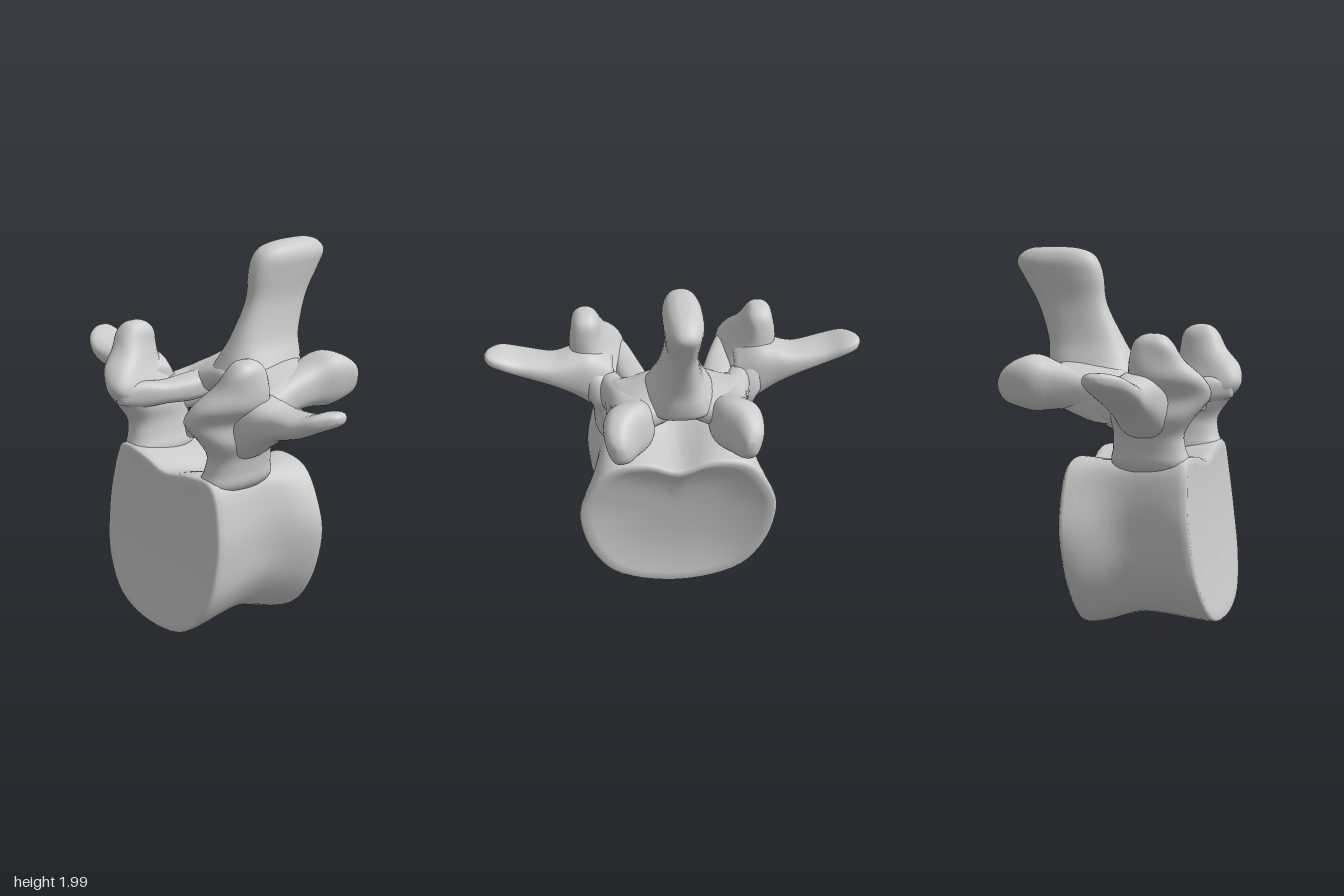
import * as THREE from 'three';

const material = new THREE.MeshStandardMaterial({ color: 0xcccccc });

// Closed smooth skin over a list of equal-length rings, capped at both ends
function skin(name, rings) {
  const n = rings[0].length, pos = [], idx = [];
  rings.forEach(r => r.forEach(p => pos.push(p.x, p.y, p.z)));
  for (let i = 0; i < rings.length - 1; i++) {
    for (let j = 0; j < n; j++) {
      const k = (j + 1) % n, a = i * n + j, b = i * n + k;
      idx.push(a, b, b + n, a, b + n, a + n);
    }
  }
  [0, rings.length - 1].forEach((i, end) => {
    const c = new THREE.Vector3();
    rings[i].forEach(p => c.addScaledVector(p, 1 / n));
    const m = pos.length / 3;
    pos.push(c.x, c.y, c.z);
    for (let j = 0; j < n; j++) {
      const a = i * n + j, b = i * n + (j + 1) % n;
      if (end) idx.push(a, b, m);
      else idx.push(b, a, m);
    }
  });
  // Turn the faces outward if the signed volume is negative
  const P = i => new THREE.Vector3().fromArray(pos, idx[i] * 3);
  let volume = 0;
  for (let i = 0; i < idx.length; i += 3) volume += P(i).dot(P(i + 1).cross(P(i + 2)));
  if (volume < 0) idx.reverse();
  const g = new THREE.BufferGeometry();
  g.setAttribute('position', new THREE.Float32BufferAttribute(pos, 3));
  g.setIndex(idx);
  g.computeVertexNormals();
  const mesh = new THREE.Mesh(g, material);
  mesh.name = name;
  return mesh;
}

// Rows are [x, y, z, halfA, halfB, turn]; sections lie square to the given axis
const AXES = { x: ['z', 'y'], y: ['z', 'x'], z: ['x', 'y'] };
const boxy = c => Math.sign(c) * Math.abs(c) ** .8;
function limb(name, axis, rows, side = 1) {
  const centre = new THREE.CatmullRomCurve3(rows.map(r => new THREE.Vector3(r[0], r[1], r[2])), false, 'catmullrom');
  const size = new THREE.CatmullRomCurve3(rows.map(r => new THREE.Vector3(r[3], r[4], r[5] || 0)), false, 'catmullrom');
  const [u, v] = AXES[axis], rings = [], steps = (rows.length - 1) * 5, n = 32;
  for (let i = 0; i <= steps; i++) {
    const c = centre.getPoint(i / steps), s = size.getPoint(i / steps), ring = [];
    for (let j = 0; j < n; j++) {
      const t = j / n * Math.PI * 2;
      const a = s.x * boxy(Math.cos(t)), b = s.y * boxy(Math.sin(t));
      const p = c.clone();
      p[u] += a * Math.cos(s.z) - b * Math.sin(s.z);
      p[v] += a * Math.sin(s.z) + b * Math.cos(s.z);
      p.x *= side;
      ring.push(p);
    }
    rings.push(ring);
  }
  return skin(name, rings);
}

// Half outlines of the body from top centre to bottom centre
const FRONT = [[0, .91], [.2, .95], [.39, .95], [.465, .75], [.48, .55], [.44, .32], [.28, .13], [0, .07]];
const WAIST = [[0, .84], [.2, .91], [.37, .92], [.425, .75], [.43, .55], [.4, .35], [.26, .15], [0, .09]];
const REAR = [[0, .86], [.18, .92], [.37, .89], [.49, .73], [.54, .55], [.48, .28], [.32, .08], [0, .005]];

function outline(half) {
  const pts = [...half, ...half.slice(1, -1).reverse().map(([x, y]) => [-x, y])];
  const curve = new THREE.CatmullRomCurve3(pts.map(([x, y]) => new THREE.Vector3(x, y, 0)), true, 'catmullrom');
  return Array.from({ length: 70 }, (_, i) => curve.getPoint(i / 70));
}

function vertebralBody() {
  const [front, waist, rear] = [FRONT, WAIST, REAR].map(outline);
  // [position front to back, inset scale, hollow depth along z]
  const stations = [[0, .3, -.006], [0, .6, -.005], [0, .88, -.002], [0, .965, 0], [.02, .995, 0]];
  for (let s = .07; s < .96; s += .08) stations.push([s, 1, 0]);
  stations.push([.975, .995, 0], [1, .955, 0], [1, .87, .012], [1, .7, .04], [1, .45, .058], [1, .2, .062]);
  const rings = stations.map(([s, k, hollow]) => front.map((f, i) => {
    const w = waist[i], r = rear[i], m = .52;
    const p = s < m
      ? f.clone().lerp(w, THREE.MathUtils.smoothstep(s, 0, m))
      : w.clone().lerp(r, THREE.MathUtils.smoothstep(s, m, 1));
    p.x *= k;
    p.y = .53 + (p.y - .53) * k;
    const faceZ = .472 + .118 * ((.97 - p.y) / .9) ** 1.6;
    p.z = THREE.MathUtils.lerp(faceZ, -.12 - .075 * p.y, s) + hollow;
    return p;
  }));
  return skin('vertebralBody', rings);
}

export function createModel() {
  const model = new THREE.Group();
  model.name = 'vertebra';
  model.add(vertebralBody());

  // Rear spine with a flared root and a rounded, thicker tip
  model.add(limb('rearSpine', 'y', [
    [0, 1.29, -.12, .14, .13], [0, 1.34, -.14, .23, .19], [0, 1.41, -.165, .23, .16],
    [0, 1.52, -.2, .205, .11], [0, 1.7, -.275, .19, .08], [0, 1.84, -.325, .22, .09],
    [0, 1.92, -.358, .228, .095], [0, 1.97, -.365, .19, .075], [0, 1.995, -.38, .12, .04], [0, 2, -.39, .04, .012],
  ]));

  // Lamina bridging both sides as the roof of the canal, rising to the rear
  const half = [
    [.12, 1.315, -.12, .23, .09, -.12], [.25, 1.265, -.12, .25, .105, -.2], [.33, 1.22, -.01, .15, .1, -.15], [.37, 1.19, .05, .09, .07],
  ];
  const mirrored = half.map(([x, ...r]) => [-x, ...r]).reverse();
  model.add(limb('lamina', 'x', [...mirrored, [0, 1.34, -.1, .21, .07, -.05], ...half]));

  for (const side of [1, -1]) {
    const label = side > 0 ? 'left' : 'right';
    // Pedicle rising into the upper joint horn
    model.add(limb(label + 'PedicleAndUpperHorn', 'y', [
      [.3, .84, .26, .12, .05], [.318, .92, .26, .2, .105], [.333, 1.0, .255, .185, .1], [.345, 1.08, .255, .18, .1],
      [.36, 1.17, .28, .21, .12, -.1], [.37, 1.27, .335, .235, .1, -.25], [.415, 1.36, .36, .19, .105, -.35],
      [.445, 1.45, .325, .135, .088, -.3], [.455, 1.53, .31, .1, .072], [.455, 1.57, .31, .06, .045], [.455, 1.582, .31, .02, .015],
    ], side));
    // Inner rim joining the upper horn to the lamina
    model.add(limb(label + 'InnerRim', 'z', [
      [.3, 1.24, .53, .03, .04], [.28, 1.24, .42, .055, .07], [.245, 1.235, .28, .07, .06],
      [.22, 1.24, .14, .08, .07], [.2, 1.26, 0, .06, .07],
    ], side));
    // Wing reaching out to the side
    model.add(limb(label + 'SideWing', 'x', [
      [.32, 1.18, .25, .12, .15], [.43, 1.23, .25, .14, .17], [.53, 1.265, .235, .125, .125], [.64, 1.29, .22, .11, .078],
      [.8, 1.33, .235, .112, .055], [.9, 1.375, .215, .1, .047], [.96, 1.395, .19, .06, .035], [.985, 1.4, .185, .02, .014],
    ], side));
    // Lower joint horn reaching back from the lamina
    model.add(limb(label + 'LowerHorn', 'z', [
      [.35, 1.18, .2, .06, .1], [.31, 1.2, .06, .08, .11], [.265, 1.26, -.1, .09, .095], [.245, 1.285, -.25, .11, .115],
      [.265, 1.305, -.37, .12, .145, -.15], [.3, 1.305, -.46, .085, .125, -.2], [.315, 1.295, -.53, .055, .085, -.2],
      [.315, 1.295, -.565, .02, .035],
    ], side));
  }
  return model;
}
